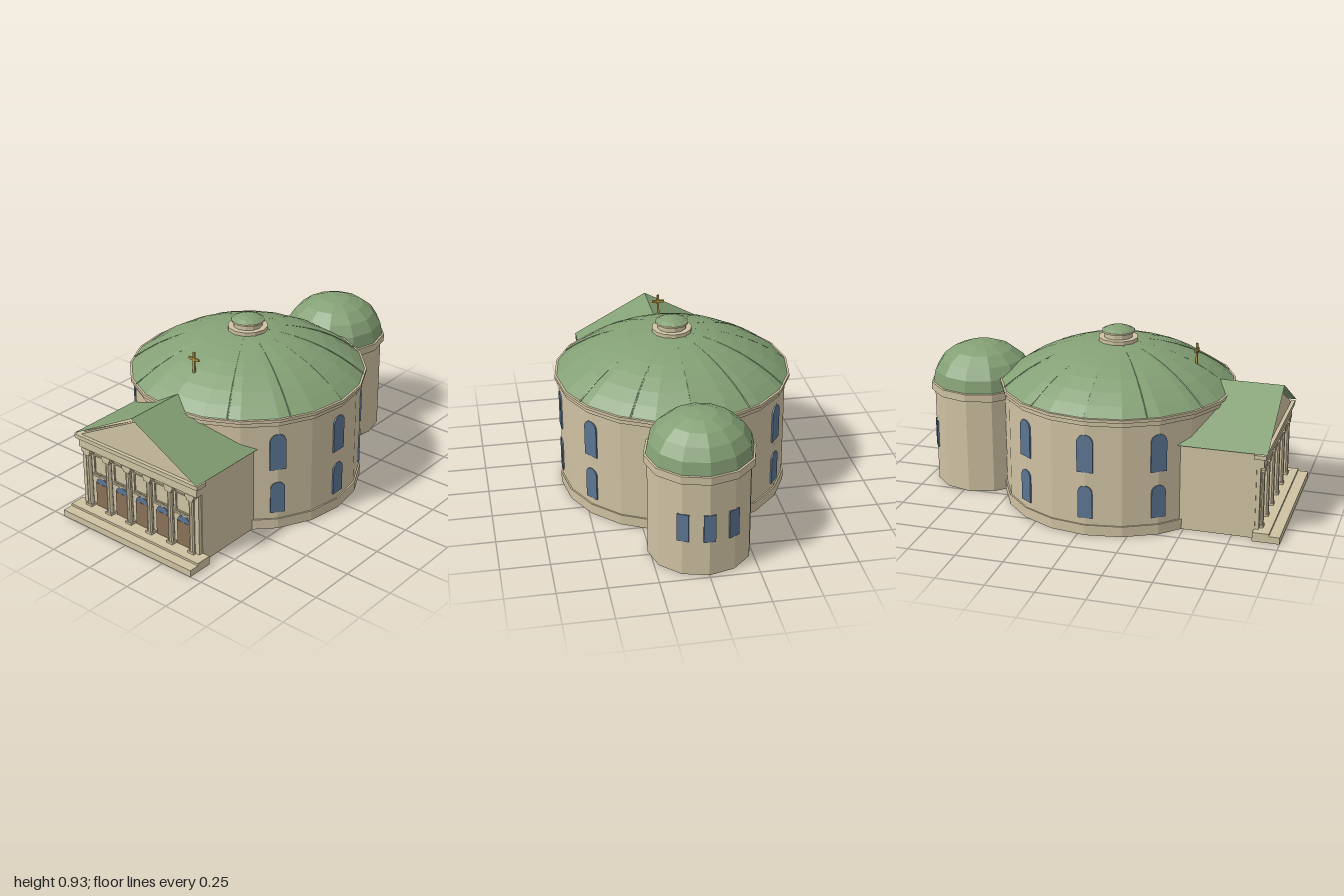
import * as THREE from 'three';

const mat = (name, color) => new THREE.MeshStandardMaterial({ name, color, flatShading: true, side: THREE.DoubleSide });

export function createModel() {
  const stone = mat('stone', 0xcfc2a2);
  const roof = mat('green roof', 0x84a075);
  const glass = mat('blue glass', 0x5c7592);
  const wood = mat('brown wood', 0x8a7158);
  const gold = mat('gold', 0xb39340);

  const model = new THREE.Group();
  const add = (name, geo, material, x = 0, y = 0, z = 0, parent = model) => {
    const m = new THREE.Mesh(geo, material);
    m.name = name;
    m.position.set(x, y, z);
    parent.add(m);
    return m;
  };
  const box = (name, w, h, d, material, x, y, z, parent) =>
    add(name, new THREE.BoxGeometry(w, h, d), material, x, y, z, parent);
  const lathe = (pts, sides) => new THREE.LatheGeometry(pts.map(p => new THREE.Vector2(...p)), sides);
  const extrude = (pts, depth) => new THREE.ExtrudeGeometry(
    new THREE.Shape(pts.map(p => new THREE.Vector2(...p))), { depth, bevelEnabled: false });
  // Plate with a rounded top, standing on its local y = 0
  const arched = (w, h, rise, depth) => {
    const s = new THREE.Shape();
    s.moveTo(-w / 2, 0);
    s.lineTo(w / 2, 0);
    s.lineTo(w / 2, h - rise);
    s.absellipse(0, h - rise, w / 2, rise, 0, Math.PI, false);
    s.closePath();
    return new THREE.ExtrudeGeometry(s, { depth, bevelEnabled: false, curveSegments: 8 });
  };

  // Round hall with plinth and stepped cornice, open underneath
  const CZ = 0.04;
  add('hallWall', lathe([[0.604, 0], [0.604, 0.055], [0.596, 0.055], [0.596, 0.592], [0.608, 0.592],
    [0.608, 0.617], [0.62, 0.617], [0.62, 0.633], [0.6, 0.633]], 20), stone, 0, 0, CZ);

  // Shallow main dome, part of a large sphere
  const R = 0.956, YC = -0.103;
  const domeY = r => YC + Math.sqrt(R * R - r * r);
  const radii = [0.609, 0.55, 0.48, 0.4, 0.32, 0.24, 0.16, 0.08, 0];
  add('mainDome', lathe(radii.map(r => [r, domeY(r)]), 20), roof, 0, 0, CZ);

  // Ribs, almost flush with the dome
  const ribCurve = new THREE.CatmullRomCurve3(
    [0.605, 0.5, 0.4, 0.3, 0.2, 0.11].map(r => new THREE.Vector3(r, domeY(r) - 0.005, 0)));
  const ribGeo = new THREE.TubeGeometry(ribCurve, 8, 0.005, 5);
  for (let i = 0; i < 12; i++) {
    add('domeRib', ribGeo, roof, 0, 0, CZ).rotation.y = i * Math.PI / 6;
  }

  // Lantern on the main dome
  add('lantern', lathe([[0.105, 0.84], [0.105, 0.866], [0.076, 0.866], [0.076, 0.89],
    [0.087, 0.892], [0.087, 0.901], [0, 0.901]], 12), stone, 0, 0, CZ);
  add('lanternCap', lathe([[0.083, 0.901], [0.06, 0.914], [0.03, 0.924], [0, 0.927]], 12), roof, 0, 0, CZ);

  // Two rows of arched hall windows on both sides
  const lowWin = arched(0.075, 0.175, 0.0375, 0.008);
  const highWin = arched(0.084, 0.2, 0.042, 0.008);
  for (const side of [1, -1]) for (const deg of [-36, 0, 36]) {
    const g = new THREE.Group();
    g.name = 'hallWindowPair';
    g.position.z = CZ;
    g.rotation.y = side * (Math.PI / 2 + deg * Math.PI / 180);
    add('lowerWindow', lowWin, glass, 0, 0.092, 0.591, g);
    add('upperWindow', highWin, glass, 0, 0.34, 0.591, g);
    model.add(g);
  }

  // Rear apse with its own dome and three windows
  const AZ = -0.72;
  add('apseWall', lathe([[0.262, 0], [0.262, 0.515], [0.28, 0.517], [0.28, 0.558], [0.26, 0.56]], 12), stone, 0, 0, AZ);
  const apsePts = [];
  for (let i = 0; i <= 5; i++) {
    const a = i * Math.PI / 10;
    apsePts.push([0.27 * Math.cos(a), 0.56 + 0.21 * Math.sin(a)]);
  }
  add('apseDome', lathe(apsePts, 12), roof, 0, 0, AZ);
  for (const deg of [-29, 0, 29]) {
    const g = new THREE.Group();
    g.name = 'apseWindow';
    g.position.z = AZ;
    g.rotation.y = Math.PI + deg * Math.PI / 180;
    box('apsePane', 0.06, 0.15, 0.009, glass, 0, 0.265, 0.2595, g);
    model.add(g);
  }

  // Portico block with gable
  add('porticoBlock', extrude([[-0.395, 0], [0.395, 0], [0.395, 0.455], [0, 0.655], [-0.395, 0.455]], 0.395),
    stone, 0, 0, 0.47);
  add('pediment', extrude([[-0.385, 0.453], [0.385, 0.453], [0, 0.655]], 0.03), stone, 0, 0, 0.865);
  box('entablature', 0.79, 0.05, 0.042, stone, 0, 0.408, 0.881);
  box('entablatureCornice', 0.82, 0.022, 0.062, stone, 0, 0.443, 0.883);

  // Gable roof, an open folded sheet
  const roofGeo = new THREE.BufferGeometry();
  roofGeo.setAttribute('position', new THREE.Float32BufferAttribute([
    -0.41, 0.46, 0.92, 0, 0.683, 0.92, 0.41, 0.46, 0.92,
    -0.41, 0.46, 0.455, 0, 0.683, 0.455, 0.41, 0.46, 0.455], 3));
  roofGeo.setIndex([0, 1, 4, 0, 4, 3, 1, 2, 5, 1, 5, 4]);
  roofGeo.computeVertexNormals();
  add('porticoRoof', roofGeo, roof);

  // Steps
  box('lowerStep', 0.865, 0.036, 0.14, stone, 0, 0.018, 0.93);
  box('upperStep', 0.865, 0.012, 0.085, stone, 0, 0.042, 0.9025);

  // Columns with base and capital, and corner pilasters
  const shaft = new THREE.CylinderGeometry(0.015, 0.017, 0.31, 10);
  for (let i = 0; i < 6; i++) {
    const x = -0.348 + i * 0.1392;
    add('column', shaft, stone, x, 0.205, 0.885);
    box('columnBase', 0.04, 0.012, 0.036, stone, x, 0.054, 0.885);
    box('columnCapital', 0.042, 0.016, 0.036, stone, x, 0.357, 0.885);
    box('friezeBlock', 0.058, 0.02, 0.04, stone, x, 0.374, 0.884);
  }
  for (const s of [1, -1]) box('cornerPilaster', 0.026, 0.335, 0.025, stone, s * 0.377, 0.215, 0.872);

  // Doors with arched lights and framed panels above
  const light = arched(0.08, 0.036, 0.034, 0.006);
  const frame = new THREE.Shape([[-0.05, 0], [0.05, 0], [0.05, 0.11], [-0.05, 0.11]].map(p => new THREE.Vector2(...p)));
  frame.holes.push(new THREE.Path([[-0.043, 0.007], [-0.043, 0.103], [0.043, 0.103], [0.043, 0.007]].map(p => new THREE.Vector2(...p))));
  const frameGeo = new THREE.ExtrudeGeometry(frame, { depth: 0.007, bevelEnabled: false });
  for (let i = -2; i <= 2; i++) {
    const x = i * 0.1385;
    box('door', 0.084, 0.135, 0.008, wood, x, 0.1145, 0.867);
    add('doorLight', light, glass, x, 0.182, 0.864);
    add('panelFrame', frameGeo, stone, x, 0.235, 0.864);
  }
  box('wallBand', 0.74, 0.009, 0.01, stone, 0, 0.225, 0.868);

  // Cross on the front of the dome
  box('crossPost', 0.012, 0.13, 0.01, gold, 0, 0.8, 0.46);
  box('crossArm', 0.066, 0.012, 0.01, gold, 0, 0.828, 0.46);

  return model;
}
